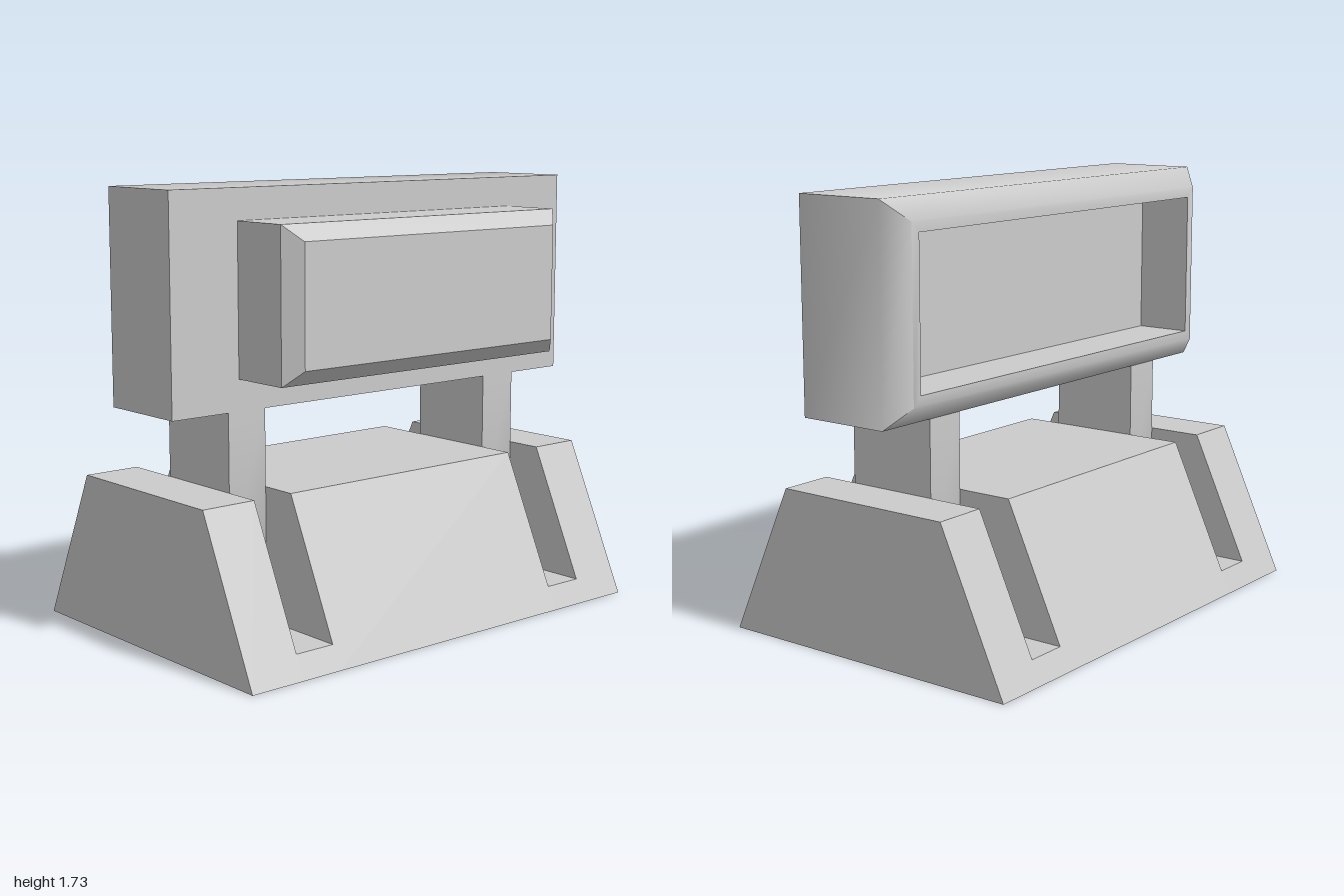
import * as THREE from 'three';
import { toCreasedNormals } from 'three/addons/utils/BufferGeometryUtils.js';

const flat = new THREE.MeshStandardMaterial({ color: 0xcccccc, flatShading: true });
const shell = new THREE.MeshStandardMaterial({ color: 0xcccccc, flatShading: true, side: THREE.DoubleSide });
const smooth = new THREE.MeshStandardMaterial({ color: 0xcccccc });
const CREASE = THREE.MathUtils.degToRad(50);

// Geometry from a list of quads, each four corners counter-clockwise
function fromQuads(quads) {
  const pos = [];
  for (const [a, b, c, d] of quads) pos.push(...a, ...b, ...c, ...a, ...c, ...d);
  const g = new THREE.BufferGeometry();
  g.setAttribute('position', new THREE.Float32BufferAttribute(pos, 3));
  g.computeVertexNormals();
  return g;
}

// Rectangular sections [x, inset] joined in order and capped at both ends
function rectLoft(sections, y0, y1, halfZ) {
  const rings = sections.map(([x, i]) => {
    const z = halfZ - i;
    return [[x, y0 + i, -z], [x, y1 - i, -z], [x, y1 - i, z], [x, y0 + i, z]];
  });
  const quads = [rings[0], [...rings[rings.length - 1]].reverse()];
  for (let r = 0; r + 1 < rings.length; r++) {
    for (let k = 0; k < 4; k++) {
      const n = (k + 1) % 4;
      quads.push([rings[r][k], rings[r + 1][k], rings[r + 1][n], rings[r][n]]);
    }
  }
  return fromQuads(quads);
}

// Hollow trapezoid base, open below, with two slots across it
function baseGeometry() {
  const top = 0.61, slot = 0.09;
  const stations = [
    [-0.96, top], [-0.74, top], [-0.74, slot], [-0.57, slot], [-0.57, top],
    [0.58, top], [0.58, slot], [0.75, slot], [0.75, top], [0.98, top],
  ];
  const rows = stations.map(([z, y]) => {
    const w = 0.66 - 0.28 * y / top;
    return [[-0.66, 0, z], [-w, y, z], [w, y, z], [0.66, 0, z]];
  });
  const quads = [rows[0], [...rows[rows.length - 1]].reverse()];
  for (let i = 0; i + 1 < rows.length; i++) {
    const wall = stations[i][0] === stations[i + 1][0];
    for (let k = 0; k < 3; k++) {
      if (wall && k !== 1) continue;
      quads.push([rows[i][k], rows[i + 1][k], rows[i + 1][k + 1], rows[i][k + 1]]);
    }
  }
  return fromQuads(quads);
}

export function createModel() {
  const model = new THREE.Group();
  const add = (name, geometry, material) => {
    const mesh = new THREE.Mesh(geometry, material);
    mesh.name = name;
    model.add(mesh);
    return mesh;
  };

  add('slottedBase', baseGeometry(), shell);

  // Legs with a rounded foot, standing in the slots
  const profile = new THREE.Shape([
    [0.23, 0.91], [-0.15, 0.91], [-0.15, 0.36], [-0.09, 0.2],
    [0, 0.16], [0.08, 0.16], [0.16, 0.2], [0.23, 0.36],
  ].map(([x, y]) => new THREE.Vector2(x, y)));
  const legGeometry = toCreasedNormals(
    new THREE.ExtrudeGeometry(profile, { depth: 0.17, bevelEnabled: false }), CREASE);
  add('frontLeg', legGeometry, smooth).position.z = 0.58;
  add('backLeg', legGeometry, smooth).position.z = -0.74;

  // Housing with softened rim and a deep recess on the -x side
  const housing = rectLoft(
    [[0.23, 0], [-0.15, 0], [-0.23, 0.08], [-0.23, 0.12], [0, 0.12]], 0.91, 1.73, 1);
  add('housing', toCreasedNormals(housing, CREASE), smooth);

  // Chamfered box on the +x side
  add('sideBox', rectLoft([[0.54, 0.06], [0.48, 0], [0.23, 0]], 1.03, 1.61, 0.7), flat);

  return model;
}
